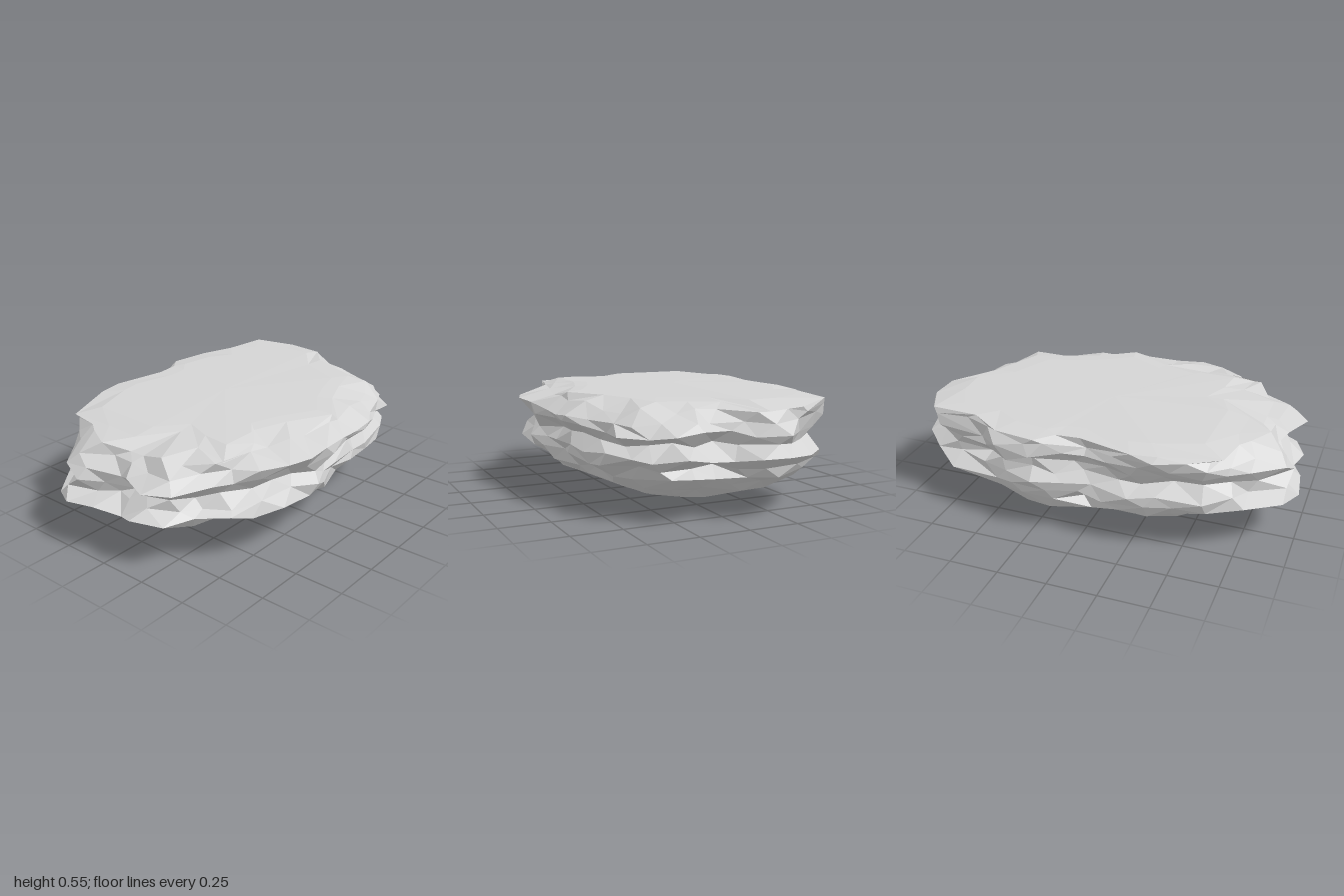
import * as THREE from 'three';

const TAU = Math.PI * 2;

// rim of the flat top, as [x, z, y]
const topOutline = [
  [0.93, -0.14, 0.51], [0.74, 0.01, 0.54], [0.68, 0.15, 0.54], [0.62, 0.28, 0.54], [0.45, 0.33, 0.54],
  [0.28, 0.4, 0.54], [0.1, 0.52, 0.54], [-0.12, 0.4, 0.54], [-0.3, 0.34, 0.54], [-0.4, 0.42, 0.53],
  [-0.62, 0.42, 0.51], [-0.6, 0.25, 0.53], [-0.53, 0.08, 0.54], [-0.7, -0.06, 0.53], [-0.69, -0.25, 0.53],
  [-0.68, -0.51, 0.52], [-0.4, -0.61, 0.535], [-0.27, -0.63, 0.535], [0, -0.57, 0.54], [0.12, -0.58, 0.54],
  [0.21, -0.65, 0.53], [0.42, -0.62, 0.53], [0.57, -0.53, 0.545], [0.82, -0.51, 0.54], [0.92, -0.32, 0.52],
];
// widest outline of the sides, as [x, z]
const wideOutline = [
  [1.0, -0.21], [0.9, -0.05], [0.86, 0.07], [0.9, 0.22], [0.8, 0.4], [0.68, 0.52], [0.45, 0.56],
  [0.26, 0.61], [0.08, 0.6], [-0.06, 0.66], [-0.4, 0.62], [-0.7, 0.43], [-0.96, 0.28], [-0.92, 0.12],
  [-0.93, -0.04], [-1.0, -0.25], [-0.82, -0.4], [-0.68, -0.53], [-0.42, -0.63], [-0.28, -0.66],
  [0, -0.59], [0.21, -0.67], [0.48, -0.64], [0.62, -0.55], [0.84, -0.53], [0.98, -0.31],
];
// layers under the rim: height, corners, share of wide outline, reach to left, right, back, front
const layers = [
  [0.505, 34, 0.5, 1, 1, 1, 1],
  [0.46, 36, 1, 0.9, 0.96, 1.01, 1.02],
  [0.41, 36, 1, 0.98, 1.01, 0.95, 0.98],
  [0.355, 36, 1, 0.94, 0.95, 0.92, 0.88],
  [0.3, 36, 1, 0.96, 1.02, 0.97, 0.95],
  [0.25, 34, 1, 1.04, 0.92, 1.01, 0.95],
  [0.2, 30, 1, 0.83, 0.88, 0.95, 0.86],
  [0.14, 24, 1, 0.63, 0.8, 0.86, 0.75],
  [0.09, 18, 1, 0.5, 0.69, 0.69, 0.55],
  [0.05, 13, 1, 0.43, 0.54, 0.46, 0.36],
  [0.01, 7, 1, 0.34, 0.17, 0.37, 0.16],
];

function makeRandom(seed) {
  return () => {
    seed = (seed * 1664525 + 1013904223) % 4294967296;
    return (seed / 4294967296) * 2 - 1;
  };
}

const angleOf = (x, z) => (Math.atan2(z, x) + TAU) % TAU;

// radius of a closed outline at any angle
function radiusOf(outline) {
  const polar = outline
    .map(([x, z]) => [angleOf(x, z), Math.hypot(x, z)])
    .sort((a, b) => a[0] - b[0]);
  const first = polar[0], last = polar[polar.length - 1];
  polar.unshift([last[0] - TAU, last[1]]);
  polar.push([first[0] + TAU, first[1]]);
  return (angle) => {
    const a = (angle + TAU) % TAU;
    const i = polar.findIndex((p) => p[0] > a);
    const [a0, r0] = polar[i - 1], [a1, r1] = polar[i];
    return r0 + ((r1 - r0) * (a - a0)) / (a1 - a0);
  };
}

function createRockGeometry() {
  const random = makeRandom(29);
  const topRadius = radiusOf(topOutline), wideRadius = radiusOf(wideOutline);
  const positions = [], index = [], rings = [];

  const addRing = (points) => {
    rings.push({ start: positions.length / 3, angles: points.map((p) => p.angle) });
    points.forEach((p) => positions.push(p.x, p.y, p.z));
  };

  // level middle of the top, then its chipped rim
  const rimPoints = topOutline
    .map(([x, z, y]) => ({ x, y, z, angle: angleOf(x, z) }))
    .sort((a, b) => a.angle - b.angle);
  addRing(rimPoints.map((p) => ({ x: p.x * 0.84, y: 0.546, z: p.z * 0.84, angle: p.angle })));
  addRing(rimPoints);

  // uneven ledges down the sides and underside
  layers.forEach(([y, count, wide, left, right, back, front], k) => {
    const phase = random() * 3;
    const points = [];
    for (let i = 0; i < count; i++) {
      const t = ((i + 0.3 + (k % 2) * 0.4 + random() * 0.25) / count) * TAU;
      const angle = angleOf(Math.cos(t), 0.75 * Math.sin(t));
      const ledge = 0.98 + 0.015 * Math.sin(angle * 5 + phase) + 0.045 * random();
      const r = THREE.MathUtils.lerp(topRadius(angle), wideRadius(angle), wide) * ledge;
      const x = r * Math.cos(angle), z = r * Math.sin(angle);
      points.push({
        x: THREE.MathUtils.clamp(x * (x < 0 ? left : right), -1, 1),
        y: Math.max(0, y + random() * 0.018),
        z: THREE.MathUtils.clamp(z * (z < 0 ? back : front), -0.67, 0.66),
        angle,
      });
    }
    addRing(points);
  });

  // join neighbouring rings, always stepping to the nearer corner
  const at = (ring, i) => ring.start + (i % ring.angles.length);
  const turn = (ring, i) => ring.angles[i % ring.angles.length] + (i >= ring.angles.length ? TAU : 0);
  for (let k = 0; k < rings.length - 1; k++) {
    const upper = rings[k], lower = rings[k + 1];
    const n = upper.angles.length, m = lower.angles.length;
    let i = 0, j = 0;
    while (i < n || j < m) {
      if (j >= m || (i < n && turn(upper, i + 1) <= turn(lower, j + 1))) {
        index.push(at(upper, i), at(upper, i + 1), at(lower, j));
        i++;
      } else {
        index.push(at(upper, i), at(lower, j + 1), at(lower, j));
        j++;
      }
    }
  }

  // flat top and shallow underside
  const topCentre = positions.length / 3, lowCentre = topCentre + 1;
  positions.push(0, 0.551, -0.1, -0.08, 0.02, -0.07);
  const high = rings[0], low = rings[rings.length - 1];
  high.angles.forEach((_, i) => index.push(topCentre, at(high, i + 1), at(high, i)));
  low.angles.forEach((_, i) => index.push(lowCentre, at(low, i), at(low, i + 1)));

  const indexed = new THREE.BufferGeometry();
  indexed.setAttribute('position', new THREE.Float32BufferAttribute(positions, 3));
  indexed.setIndex(index);
  const geometry = indexed.toNonIndexed();
  geometry.computeVertexNormals();
  return geometry;
}

export function createModel() {
  const stone = new THREE.MeshStandardMaterial({ color: 0xd4d4d4, flatShading: true });
  stone.name = 'grey stone';

  const rock = new THREE.Mesh(createRockGeometry(), stone);
  rock.name = 'rockSlab';

  const model = new THREE.Group();
  model.name = 'flatRock';
  model.add(rock);
  return model;
}
